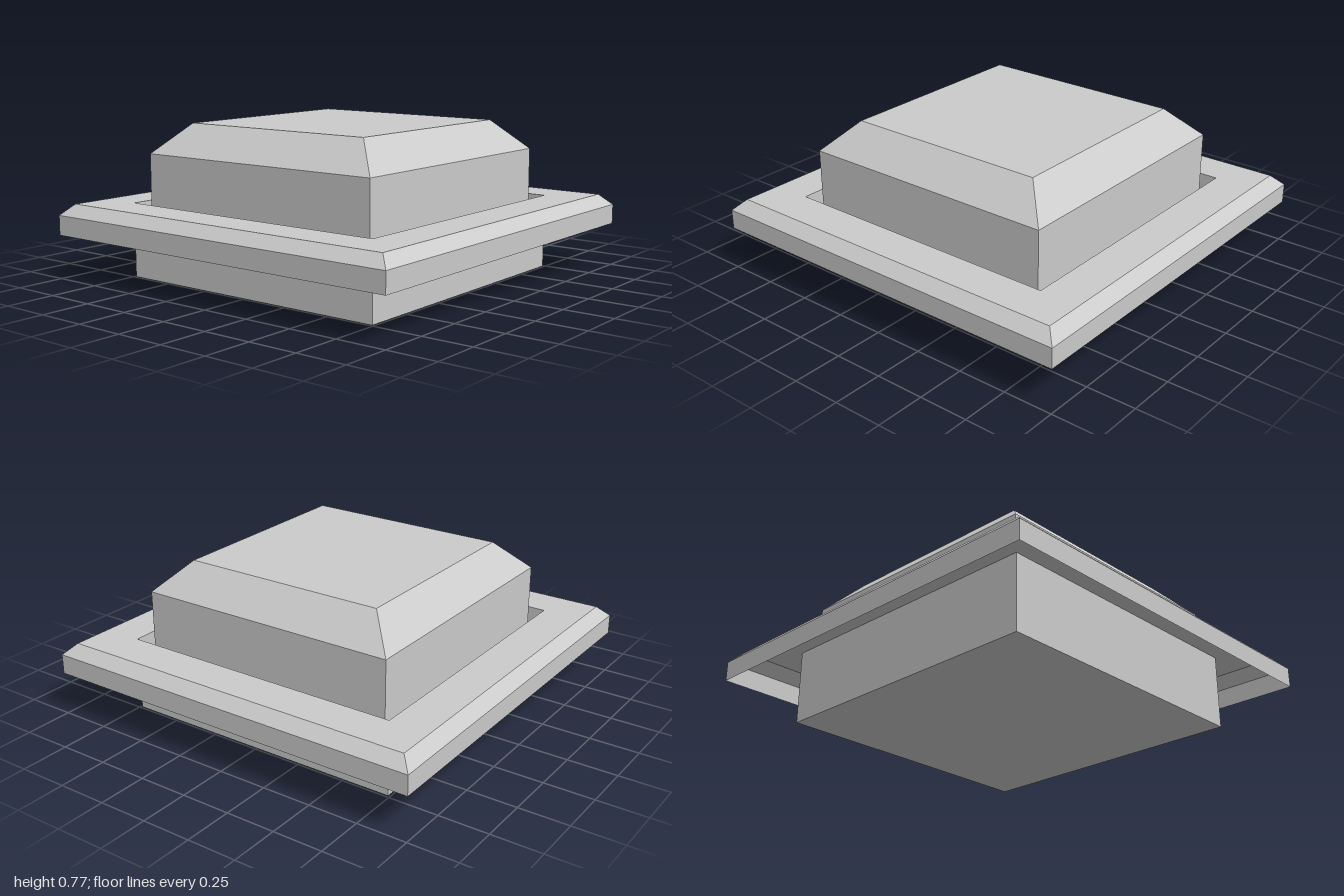
import * as THREE from 'three';

const material = new THREE.MeshStandardMaterial({
  color: 0xcccccc,
  flatShading: true,
  side: THREE.DoubleSide,
});

// Sweeps a [half width, height] profile around a square
function squareSweep(name, profile) {
  const points = profile.map(([half, y]) => new THREE.Vector2(half * Math.SQRT2, y));
  const geometry = new THREE.LatheGeometry(points, 4, Math.PI / 4).toNonIndexed();
  geometry.computeVertexNormals();
  const mesh = new THREE.Mesh(geometry, material);
  mesh.name = name;
  return mesh;
}

export function createModel() {
  const model = new THREE.Group();
  model.name = 'pushButton';

  // Open-topped square tray that holds the button
  model.add(squareSweep('housing', [[0, 0], [0.74, 0], [0.74, 0.375]]));

  // Thin bevelled flange around the tray, hollow underneath
  model.add(squareSweep('bezel', [[1, 0.22], [1, 0.32], [0.943, 0.375], [0.74, 0.375]]));

  // Chamfered cap standing in the tray with a narrow gap all round
  model.add(squareSweep('buttonCap', [[0.68, 0], [0.68, 0.62], [0.53, 0.77], [0, 0.77]]));

  return model;
}
